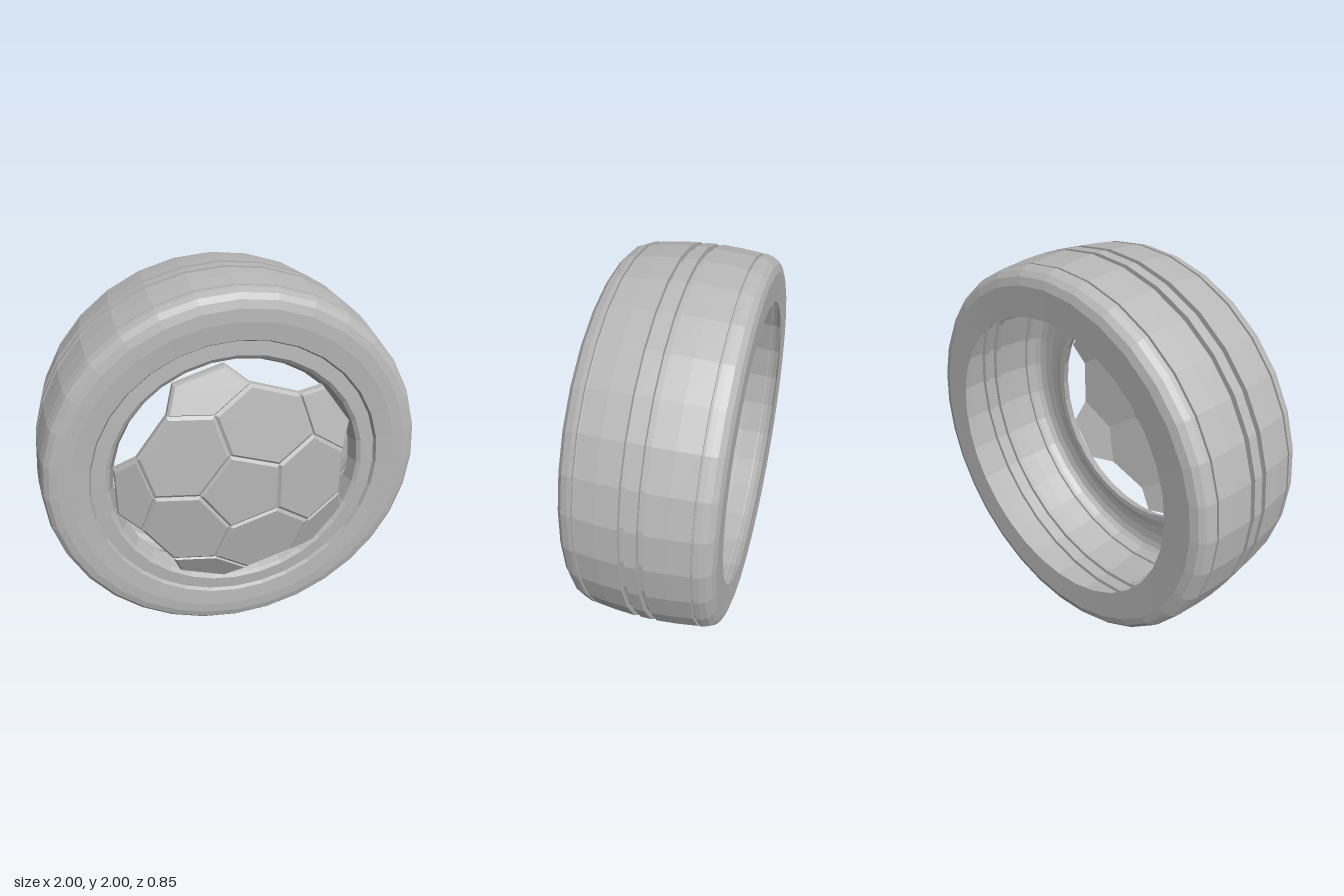
import * as THREE from 'three';

const SIDES = 32;

// Closed panel: flat back, side walls, and a bevelled raised front
function panelGeometry(corners) {
  const n = corners.length;
  const centre = corners.reduce((c, p) => c.add(p), new THREE.Vector3()).divideScalar(n);
  const lift = new THREE.Vector3(0, 0, 0.012);
  const back = corners.map(p => p.clone().setZ(p.z - 0.03));
  const front = corners.map(p => p.clone().lerp(centre, 0.075).add(lift));
  const frontMid = centre.clone().add(lift);
  const backMid = centre.clone().setZ(centre.z - 0.03);
  const tris = [];
  for (let i = 0; i < n; i++) {
    const j = (i + 1) % n;
    tris.push(frontMid, front[i], front[j]);
    tris.push(corners[i], corners[j], front[j], corners[i], front[j], front[i]);
    tris.push(back[i], back[j], corners[j], back[i], corners[j], corners[i]);
    tris.push(backMid, back[j], back[i]);
  }
  const geometry = new THREE.BufferGeometry().setFromPoints(tris);
  geometry.computeVertexNormals();
  return geometry;
}

export function createModel() {
  const model = new THREE.Group();
  model.name = 'wheel';
  const grey = new THREE.MeshStandardMaterial({ color: 0xb8b8b8 });
  grey.name = 'grey';
  grey.flatShading = true;
  grey.side = THREE.DoubleSide;

  // Turned shell around the z axis, profile as [radius, z]
  const turn = (name, profile) => {
    const geometry = new THREE.LatheGeometry(profile.map(p => new THREE.Vector2(...p)), SIDES);
    geometry.rotateX(Math.PI / 2);
    const mesh = new THREE.Mesh(geometry, grey);
    mesh.name = name;
    mesh.position.y = 1;
    model.add(mesh);
  };

  // Rectangular groove cut into the tread between two z values
  const groove = (r, z0, z1, depth) => [[r, z0], [r - depth, z0], [r - depth, z1], [r, z1]];

  turn('tyre', [
    [0.75, -0.42], [0.9, -0.425], [0.94, -0.413], [0.965, -0.39], [0.977, -0.36],
    ...groove(0.981, -0.338, -0.325, 0.015),
    [0.993, -0.22],
    ...groove(1, -0.12, -0.09, 0.025),
    ...groove(1, -0.035, -0.005, 0.025),
    [0.993, 0.1],
    ...groove(0.981, 0.2, 0.213, 0.015),
    [0.977, 0.235], [0.965, 0.268], [0.94, 0.291], [0.9, 0.302], [0.84, 0.305], [0.75, 0.298],
  ]);

  turn('rimRing', [
    [0.75, 0.298], [0.74, 0.28], [0.67, 0.285], [0.65, 0.272],
    [0.625, 0.215], [0.66, 0.215], [0.665, 0.25], [0.74, 0.262],
  ]);

  // Hub cover: top of a truncated icosahedron, flattened along z
  const cover = new THREE.Group();
  cover.name = 'hubCover';
  cover.position.y = 1;
  model.add(cover);
  const corner = ([x, y, z]) => new THREE.Vector3(x * 0.645, y * 0.645, 0.413 + (z - 0.939) * 0.163);
  const addPanel = (name, points, angle) => {
    const mesh = new THREE.Mesh(panelGeometry(points.map(corner)), grey);
    mesh.name = name;
    mesh.rotation.z = angle;
    cover.add(mesh);
  };
  const h = 0.2018;
  const hexagon = [
    [0.278, -h, 0.939], [0.555, -2 * h, 0.727], [0.833, -h, 0.515],
    [0.833, h, 0.515], [0.555, 2 * h, 0.727], [0.278, h, 0.939],
  ];
  const pentagon = [
    [0.687, 0, 0.727], [0.793, -0.326, 0.515], [0.964, -h, 0.172],
    [0.964, h, 0.172], [0.793, 0.326, 0.515],
  ];
  const step = Math.PI * 2 / 5;
  const middle = [];
  for (let i = 0; i < 5; i++) {
    const a = (i + 0.5) * step;
    middle.push([0.3433 * Math.cos(a), 0.3433 * Math.sin(a), 0.939]);
    addPanel('hexagonPanel', hexagon, i * step);
    addPanel('outerPentagonPanel', pentagon, a);
  }
  addPanel('centrePentagonPanel', middle, 0);
  return model;
}
